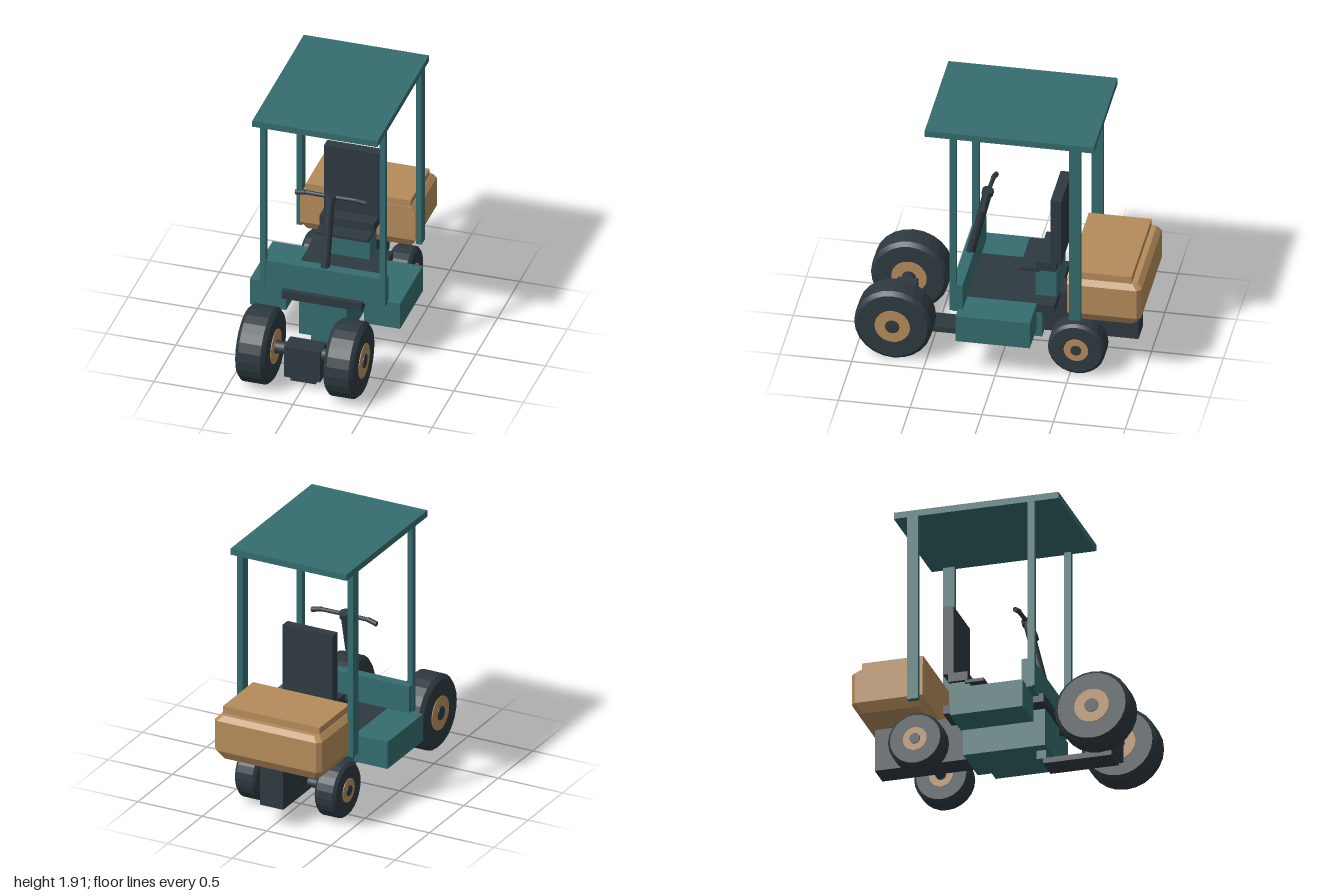
import * as THREE from 'three';
import { toCreasedNormals } from 'three/addons/utils/BufferGeometryUtils.js';

export function createModel() {
  const group = new THREE.Group();
  const makeMaterial = (name, color) => {
    const m = new THREE.MeshStandardMaterial({ color });
    m.name = name;
    return m;
  };
  const teal = makeMaterial('teal', 0x346c6e);
  const dark = makeMaterial('charcoal', 0x2d3940);
  const tan = makeMaterial('tan', 0xb48b5b);

  const add = (name, geometry, material) => {
    const mesh = new THREE.Mesh(geometry, material);
    mesh.name = name;
    group.add(mesh);
    return mesh;
  };
  // Box given by its limits on each axis
  const box = (name, mat, [x0, x1], [y0, y1], [z0, z1]) =>
    add(name, new THREE.BoxGeometry(x1 - x0, y1 - y0, z1 - z0), mat)
      .position.set((x0 + x1) / 2, (y0 + y1) / 2, (z0 + z1) / 2);
  // Rod between two points
  const rod = (name, mat, a, b, r, sides = 14) => {
    const p = new THREE.Vector3(...a), q = new THREE.Vector3(...b);
    const mesh = add(name, new THREE.CylinderGeometry(r, r, p.distanceTo(q), sides), mat);
    mesh.position.copy(p).add(q).multiplyScalar(0.5);
    mesh.quaternion.setFromUnitVectors(new THREE.Vector3(0, 1, 0), q.sub(p).normalize());
  };

  // Wheels: chamfered tyre, rim discs and hub
  const wheel = (name, x, y, z, r, w, rimR, hubR) => {
    const c = r * 0.1, h = w / 2;
    const profile = [[0, -h], [r - c, -h], [r, c - h], [r, h - c], [r - c, h], [0, h]]
      .map(([a, b]) => new THREE.Vector2(a, b));
    const tyre = toCreasedNormals(new THREE.LatheGeometry(profile, 24).rotateZ(Math.PI / 2), 0.2);
    add(name + 'Tyre', tyre, dark).position.set(x, y, z);
    rod(name + 'Rim', tan, [x - h - 0.005, y, z], [x + h + 0.005, y, z], rimR, 24);
    rod(name + 'Hub', dark, [x - h - 0.012, y, z], [x + h + 0.012, y, z], hubR, 16);
  };
  for (const [side, s] of [['left', 1], ['right', -1]]) {
    wheel(side + 'FrontWheel', s * 0.317, 0.273, 0.73, 0.271, 0.214, 0.124, 0.05);
    wheel(side + 'RearWheel', s * 0.31, 0.208, -0.545, 0.2, 0.165, 0.086, 0.038);

    // Side tanks and roof posts
    const span = (a, b) => (s > 0 ? [a, b] : [-b, -a]);
    box(side + 'Tank', teal, span(0.28, 0.54), [0.28, 0.483], [-0.25, 0.268]);
    box(side + 'FrontPost', teal, span(0.41, 0.45), [0.47, 1.87], [0.28, 0.328]);
    box(side + 'RearPost', teal, span(0.41, 0.45), [0.486, 1.87], [-0.586, -0.506]);

    // Handlebar arms and drooping grips
    rod(side + 'HandlebarArm', dark, [0, 1.172, 0.14], [s * 0.2, 1.172, 0.136], 0.015);
    rod(side + 'Grip', dark, [s * 0.18, 1.173, 0.137], [s * 0.253, 1.157, 0.13], 0.018);
  }
  rod('frontAxle', dark, [-0.3, 0.273, 0.73], [0.3, 0.273, 0.73], 0.045, 16);
  rod('rearAxle', dark, [-0.3, 0.208, -0.545], [0.3, 0.208, -0.545], 0.035, 16);

  // Chassis
  box('frontGearbox', dark, [-0.13, 0.13], [0.08, 0.322], [0.65, 0.79]);
  box('drawbar', dark, [-0.09, 0.09], [0.045, 0.085], [0.28, 0.77]);
  box('drawbarBracket', teal, [-0.09, 0.09], [0.083, 0.15], [0.235, 0.302]);
  box('body', teal, [-0.17, 0.17], [0.145, 0.425], [-0.267, 0.32]);
  box('deck', dark, [-0.288, 0.288], [0.418, 0.481], [-0.375, 0.345]);
  box('rearFrame', dark, [-0.09, 0.09], [0.15, 0.475], [-0.925, -0.26]);
  box('frontPanel', teal, [-0.448, 0.448], [0.465, 0.68], [0.235, 0.31]);
  box('roof', teal, [-0.45, 0.45], [1.863, 1.91], [-0.68, 0.5]);

  // Seat
  box('seatBase', teal, [-0.17, 0.17], [0.478, 0.702], [-0.368, -0.22]);
  box('seatTray', dark, [-0.19, 0.19], [0.682, 0.704], [-0.25, -0.115]);
  box('seatCushion', dark, [-0.197, 0.197], [0.7, 0.765], [-0.368, -0.23]);
  box('seatBack', dark, [-0.195, 0.195], [0.76, 1.273], [-0.405, -0.33]);

  // Steering column
  rod('steeringColumn', dark, [0, 0.66, 0.265], [0, 1.165, 0.143], 0.032, 16);
  rod('steeringHead', dark, [0, 1.15, 0.147], [0, 1.188, 0.138], 0.041, 16);

  // Cargo box: bevelled loops stacked upward, rear corners cut
  const loop = (y, inset, frontInset) => {
    const x = 0.415 - inset, back = -1 + inset, front = -0.485 - frontInset, c = 0.03;
    return [[x, y, front], [x, y, back + c], [x - c, y, back],
      [c - x, y, back], [-x, y, back + c], [-x, y, front]];
  };
  const loops = [loop(0.458, 0.04, 0.04), loop(0.525, 0, 0), loop(0.75, 0, 0), loop(0.785, 0.033, 0)];
  const verts = [];
  const n = loops[0].length;
  const tri = (a, b, c) => verts.push(...a, ...b, ...c);
  for (let k = 0; k < loops.length - 1; k++) {
    for (let i = 0; i < n; i++) {
      const j = (i + 1) % n, lo = loops[k], hi = loops[k + 1];
      tri(lo[i], lo[j], hi[j]);
      tri(lo[i], hi[j], hi[i]);
    }
  }
  for (let i = 1; i < n - 1; i++) {
    const top = loops[3], bottom = loops[0];
    tri(top[0], top[i], top[i + 1]);
    tri(bottom[0], bottom[i + 1], bottom[i]);
  }
  const cargo = new THREE.BufferGeometry();
  cargo.setAttribute('position', new THREE.Float32BufferAttribute(verts, 3));
  cargo.computeVertexNormals();
  add('cargoBox', cargo, tan);
  box('cargoLid', tan, [-0.376, 0.376], [0.78, 0.836], [-0.93, -0.492]);

  return group;
}
